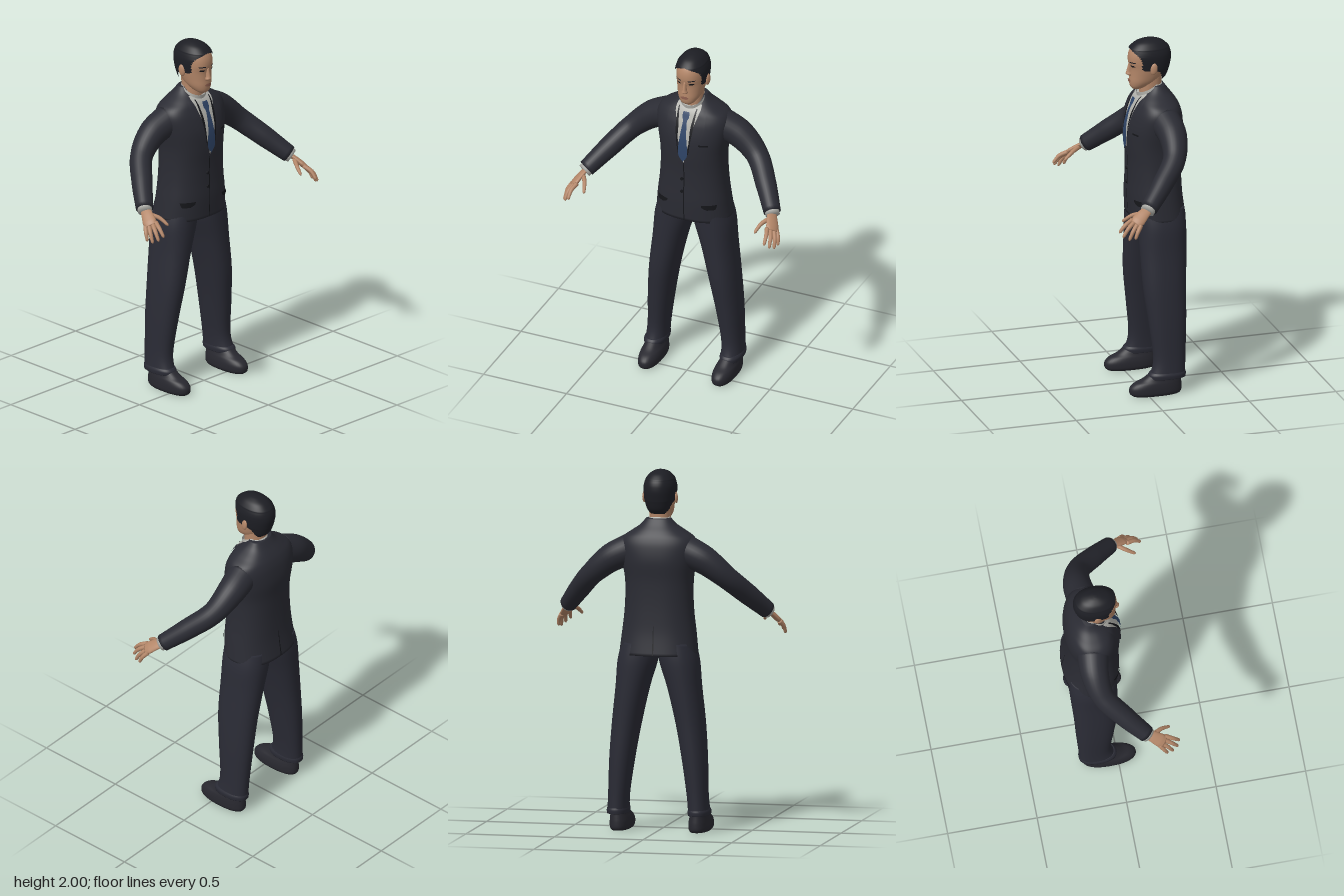
import * as THREE from 'three';
import { mergeVertices } from 'three/addons/utils/BufferGeometryUtils.js';

const mat = (name, color) => Object.assign(new THREE.MeshStandardMaterial({ color }), { name });
const V = (x, y, z) => new THREE.Vector3(x, y, z);

// Surface through a grid of points (rows run upward or along, columns run around)
function skin(grid) {
  const n = grid[0].length, idx = [];
  for (let i = 0; i < grid.length - 1; i++)
    for (let j = 0; j < n - 1; j++) {
      const a = i * n + j, c = a + n;
      idx.push(a, a + 1, c, a + 1, c + 1, c);
    }
  const g = new THREE.BufferGeometry().setFromPoints(grid.flat());
  g.setIndex(idx);
  const m = mergeVertices(g, 1e-5);
  m.computeVertexNormals();
  return m;
}

// Smooth resampling of a table of rows
function smooth(rows, sub = 5) {
  const out = [], last = rows.length - 1, at = i => rows[Math.max(0, Math.min(last, i))];
  for (let i = 0; i < last; i++)
    for (let s = 0; s < sub; s++) {
      const t = s / sub;
      out.push(rows[i].map((b, k) => {
        const a = at(i - 1)[k], c = at(i + 1)[k], d = at(i + 2)[k];
        return b + 0.5 * t * (c - a + t * (2 * a - 5 * b + 4 * c - d + t * (3 * (b - c) + d - a)));
      }));
    }
  out.push(rows[last]);
  return out;
}

// Upright body from rows of [y, centre x, half width, front z, back z, opening angle at the front]
function loft(rows, { p = 2.2, n = 40, caps = true, ragged = 0 } = {}) {
  const pw = v => Math.sign(v) * Math.pow(Math.abs(v), 2 / p);
  const grid = rows.map(([y, cx, rx, zf, zb, h = 0], i) => {
    const ring = [];
    const open = h > 0.1 ? h + (i % 2 ? ragged : -ragged) : 0;
    for (let j = 0; j <= n; j++) {
      const a = open + (2 * Math.PI - 2 * open) * (j % n === 0 && !open ? 0 : j / n);
      ring.push(V(cx + rx * pw(Math.sin(a)), y, (zf + zb) / 2 + (zf - zb) / 2 * pw(Math.cos(a))));
    }
    return ring;
  });
  const end = r => Array(n + 1).fill(V(r[1], r[0], (r[3] + r[4]) / 2));
  if (caps) grid.unshift(end(rows[0]));
  grid.push(end(rows[rows.length - 1]));
  return skin(grid);
}

// Thin plate lying on a lofted surface, rows of [y, x0, x1] going upward
function plate(body, rows, off, { p = 2.2, side = 1, n = 6, sub = 5 } = {}) {
  const grid = smooth(rows, sub).map(([y, x0, x1]) => {
    let i = body.findIndex(r => r[0] >= y);
    i = Math.max(1, i < 0 ? body.length - 1 : i);
    const t = (y - body[i - 1][0]) / (body[i][0] - body[i - 1][0]);
    const [, cx, rx, zf, zb] = body[i].map((b, k) => THREE.MathUtils.lerp(body[i - 1][k], b, t));
    const line = [];
    for (let j = 0; j <= n; j++) {
      const x = THREE.MathUtils.lerp(x0, x1, j / n);
      const u = Math.min(1, Math.abs((x - cx) / rx));
      const d = (zf - zb) / 2 * Math.pow(1 - Math.pow(u, p), 1 / p);
      line.push(V(x, y, (zf + zb) / 2 + side * (d + off)));
    }
    return side > 0 ? line : line.reverse();
  });
  return skin(grid);
}

// Limb swept along [x, y, z, radius] points, optionally flattened across a direction
function limb(pts, { n = 20, steps = 20, across = null, flat = 1 } = {}) {
  const curve = new THREE.CatmullRomCurve3(pts.map(q => V(q[0], q[1], q[2])));
  const fr = curve.computeFrenetFrames(steps, false);
  const grid = [];
  for (let i = 0; i <= steps; i++) {
    const u = i / steps, t = curve.getUtoTmapping(u) * (pts.length - 1);
    const k = Math.min(pts.length - 2, Math.floor(t));
    const r = THREE.MathUtils.lerp(pts[k][3], pts[k + 1][3], t - k);
    const c = curve.getPointAt(u), T = fr.tangents[i];
    const N = across ? across.clone().addScaledVector(T, -across.dot(T)).normalize() : fr.normals[i];
    const B = T.clone().cross(N);
    const ring = [];
    for (let j = 0; j <= n; j++) {
      const a = 2 * Math.PI * (j % n) / n;
      ring.push(c.clone().addScaledVector(N, r * Math.cos(a)).addScaledVector(B, r * flat * Math.sin(a)));
    }
    grid.push(ring);
  }
  grid.unshift(Array(n + 1).fill(curve.getPointAt(0)));
  grid.push(Array(n + 1).fill(curve.getPointAt(1)));
  return skin(grid);
}

export function createModel() {
  const suit = mat('suit cloth', 0x2a2b33), trouser = mat('trouser cloth', 0x2a2b35);
  const dark = mat('dark trim', 0x15161a), hairM = mat('hair', 0x1d1e24);
  const skinM = mat('skin', 0xb38668), lipM = mat('lips', 0x8f6050);
  const shirt = mat('shirt', 0xb2b2ac), tieM = mat('tie', 0x2f4568), shoeM = mat('shoe leather', 0x28282f);
  shirt.side = THREE.DoubleSide;
  const g = new THREE.Group();
  g.name = 'man in suit';
  const add = (name, geo, m) => {
    const mesh = new THREE.Mesh(geo, m);
    mesh.name = name;
    g.add(mesh);
    return mesh;
  };

  // Jacket body
  const P = { p: 2.4 };
  const torso = smooth([
    [0.985, 0, 0.218, 0.038, -0.272], [1.1, 0, 0.205, 0.043, -0.256], [1.2, 0, 0.193, 0.04, -0.25],
    [1.3, 0, 0.187, 0.04, -0.248], [1.4, 0, 0.189, 0.045, -0.25], [1.5, 0, 0.205, 0.043, -0.258],
    [1.58, 0, 0.215, 0.025, -0.25], [1.63, 0, 0.198, 0.005, -0.235], [1.665, 0, 0.15, -0.012, -0.215],
    [1.7, 0, 0.1, -0.045, -0.188], [1.735, 0, 0.07, -0.08, -0.163]]);
  add('jacket', loft(torso, { p: 2.4, n: 56 }), suit);
  add('shirtFront', plate(torso, [[1.36, -0.002, 0.002], [1.5, -0.034, 0.034], [1.6, -0.054, 0.054],
    [1.66, -0.072, 0.072], [1.695, -0.07, 0.07]], 0.004, P), shirt);
  add('tie', plate(torso, [[1.372, -0.001, 0.001], [1.42, -0.028, 0.028], [1.54, -0.018, 0.018],
    [1.61, -0.012, 0.012], [1.635, -0.02, 0.02], [1.662, -0.018, 0.018]], 0.014, P), tieM);
  add('frontOpening', plate(torso, [[0.99, -0.003, 0.003], [1.36, -0.003, 0.003]], 0.002, { ...P, sub: 30 }), dark);
  add('backVent', plate(torso, [[0.99, -0.004, 0.004], [1.15, -0.002, 0.002]], 0.002, { ...P, side: -1, sub: 20 }), dark);
  add('breastPocket', plate(torso, [[1.475, 0.085, 0.135], [1.485, 0.085, 0.135]], 0.003, P), dark);
  for (const y of [1.25, 1.17]) {
    const b = add('button', new THREE.CylinderGeometry(0.009, 0.009, 0.008, 16), dark);
    b.rotation.x = Math.PI / 2;
    b.position.set(-0.012, y, 0.043);
  }
  // Shirt collar, lower at the front
  const collar = add('shirtCollar', new THREE.CylinderGeometry(0.066, 0.078, 0.05, 40, 1, true), shirt);
  collar.scale.z = 1.08;
  collar.rotation.x = 0.45;
  collar.position.set(0, 1.703, -0.085);

  // Neck and head
  add('neck', loft(smooth([[1.62, 0, 0.062, -0.03, -0.15], [1.7, 0, 0.058, -0.028, -0.148],
    [1.82, 0, 0.06, -0.03, -0.155]])), skinM);
  const headRows = [
    [1.715, 0, 0.024, 0.012, -0.03], [1.73, 0, 0.044, 0.025, -0.07], [1.76, 0, 0.063, 0.03, -0.125],
    [1.8, 0, 0.073, 0.028, -0.16], [1.84, 0, 0.079, 0.028, -0.175], [1.88, 0, 0.081, 0.036, -0.185],
    [1.92, 0, 0.079, 0.032, -0.185], [1.955, 0, 0.066, 0.014, -0.165], [1.98, 0, 0.04, -0.025, -0.125],
    [1.988, 0, 0.012, -0.06, -0.09]];
  const head = smooth(headRows);
  add('head', loft(head), skinM);
  add('hair', loft(smooth([
    [1.76, 0, 0.064, 0.03, -0.155, 2.55], [1.785, 0, 0.074, 0.035, -0.178, 2.2], [1.825, 0, 0.083, 0.037, -0.193, 1.85],
    [1.84, 0, 0.086, 0.038, -0.197, 1.12], [1.88, 0, 0.089, 0.043, -0.205, 1.1], [1.91, 0, 0.089, 0.043, -0.205, 0.98],
    [1.93, 0, 0.085, 0.037, -0.201, 0.72], [1.945, 0, 0.08, 0.032, -0.195, 0.35], [1.955, 0, 0.076, 0.026, -0.189, 0],
    [1.98, 0, 0.055, -0.005, -0.16, 0], [1.995, 0, 0.028, -0.045, -0.12, 0], [2, 0, 0.008, -0.075, -0.09, 0]]),
    { caps: false, ragged: 0.035, n: 48 }), hairM);
  // Nose tapering up to the brow
  add('nose', loft(smooth([[1.793, 0, 0.013, 0.034, 0.01], [1.803, 0, 0.018, 0.05, 0.01],
    [1.82, 0, 0.012, 0.047, 0.01], [1.865, 0, 0.008, 0.035, 0.01]]), { n: 20 }), skinM);
  add('mouth', plate(head, [[1.758, -0.012, 0.012], [1.767, -0.024, 0.024], [1.775, -0.012, 0.012]], 0.006), lipM);

  for (const s of [1, -1]) {
    const side = s > 0 ? 'left' : 'right';
    const span = (y, a, b) => s > 0 ? [y, a, b] : [y, -b, -a];
    const on = (name, rows, off, m, body = torso, o = P) =>
      add(side + name, plate(body, rows.map(r => span(...r)), off, o), m);

    // Lapel with its shaded inner edge, and pocket flap
    on('Lapel', [[1.35, 0.002, 0.012], [1.45, 0.03, 0.072], [1.56, 0.048, 0.11], [1.6, 0.056, 0.112],
      [1.64, 0.066, 0.11], [1.675, 0.074, 0.098]], 0.008, suit);
    on('LapelEdge', [[1.42, 0.026, 0.031], [1.5, 0.034, 0.042], [1.58, 0.036, 0.052], [1.68, 0.05, 0.056]], 0.01, dark);
    on('PocketFlap', [[1.07, 0.13, 0.17], [1.085, 0.105, 0.175], [1.1, 0.1, 0.178]], 0.006, dark);

    // Face details
    on('Eye', [[1.85, 0.03, 0.042], [1.855, 0.022, 0.052], [1.86, 0.03, 0.046]], 0.003, dark, head, {});
    on('Eyebrow', [[1.874, 0.018, 0.054], [1.88, 0.024, 0.058]], 0.003, hairM, head, {});
    const ear = add(side + 'Ear', new THREE.SphereGeometry(1, 16, 12), skinM);
    ear.scale.set(0.01, 0.033, 0.02);
    ear.position.set(s * 0.089, 1.845, -0.083);
    ear.rotation.set(-0.15, s * -0.25, 0);

    // Sleeve and shirt cuff
    const mir = pts => pts.map(([x, ...r]) => [s * x, ...r]);
    add(side + 'Sleeve', limb(mir([[0.15, 1.56, -0.125, 0.088], [0.26, 1.51, -0.135, 0.079],
      [0.375, 1.417, -0.108, 0.063], [0.475, 1.31, -0.005, 0.058], [0.56, 1.212, 0.1, 0.048]]), { n: 28, steps: 30 }), suit);
    add(side + 'ShirtCuff', limb(mir([[0.55, 1.222, 0.088, 0.041], [0.568, 1.202, 0.112, 0.04]]), { steps: 2 }), shirt);

    // Hand
    const across = V(s * 0.042, -0.025, -0.045);
    add(side + 'Palm', limb(mir([[0.555, 1.215, 0.095, 0.027], [0.575, 1.19, 0.135, 0.033],
      [0.592, 1.163, 0.17, 0.039], [0.601, 1.147, 0.192, 0.032]]), { across, flat: 0.42 }), skinM);
    const fingers = [
      ['Index', [0.574, 1.165, 0.2], [0.588, 1.142, 0.245], [0.59, 1.105, 0.278]],
      ['Middle', [0.59, 1.157, 0.192], [0.61, 1.126, 0.236], [0.615, 1.085, 0.264]],
      ['Ring', [0.604, 1.149, 0.178], [0.625, 1.114, 0.212], [0.632, 1.07, 0.235]],
      ['Little', [0.615, 1.142, 0.163], [0.634, 1.11, 0.187], [0.64, 1.075, 0.202]],
      ['Thumb', [0.562, 1.192, 0.14], [0.532, 1.175, 0.188], [0.515, 1.142, 0.235]]];
    for (const [name, a, b, c] of fingers) {
      const tip = c.map((v, k) => v + (c[k] - b[k]) * 0.08);
      add(side + name + 'Finger', limb(mir([[...a, 0.013], [...b, 0.0115], [...c, 0.008], [...tip, 0.003]]),
        { n: 10, steps: 14 }), skinM);
    }

    // Trouser leg with turned hem, and shoe
    const at = rows => smooth(rows.map(([y, cx, ...r]) => [y, s * cx, ...r]));
    add(side + 'TrouserLeg', loft(at([
      [0.1, 0.228, 0.058, -0.012, -0.215], [0.2, 0.222, 0.057, -0.038, -0.218], [0.4, 0.205, 0.068, -0.018, -0.228],
      [0.6, 0.18, 0.079, 0.006, -0.235], [0.8, 0.146, 0.092, 0.012, -0.246], [0.95, 0.117, 0.109, 0.015, -0.252],
      [1.05, 0.1, 0.1, 0.015, -0.245]]), { p: 2.3 }), trouser);
    add(side + 'TrouserHem', loft(at([[0.095, 0.228, 0.059, -0.006, -0.217], [0.115, 0.228, 0.061, -0.006, -0.219],
      [0.13, 0.227, 0.056, -0.018, -0.214]]), { p: 2.3 }), trouser);
    add(side + 'Shoe', loft(at([
      [0, 0.222, 0.05, 0.085, -0.185], [0.015, 0.222, 0.059, 0.1, -0.195], [0.045, 0.222, 0.06, 0.1, -0.196],
      [0.07, 0.223, 0.056, 0.075, -0.194], [0.09, 0.224, 0.05, 0.03, -0.192], [0.125, 0.226, 0.044, -0.02, -0.19]]),
      { p: 2.3 }), shoeM);
  }
  return g;
}
